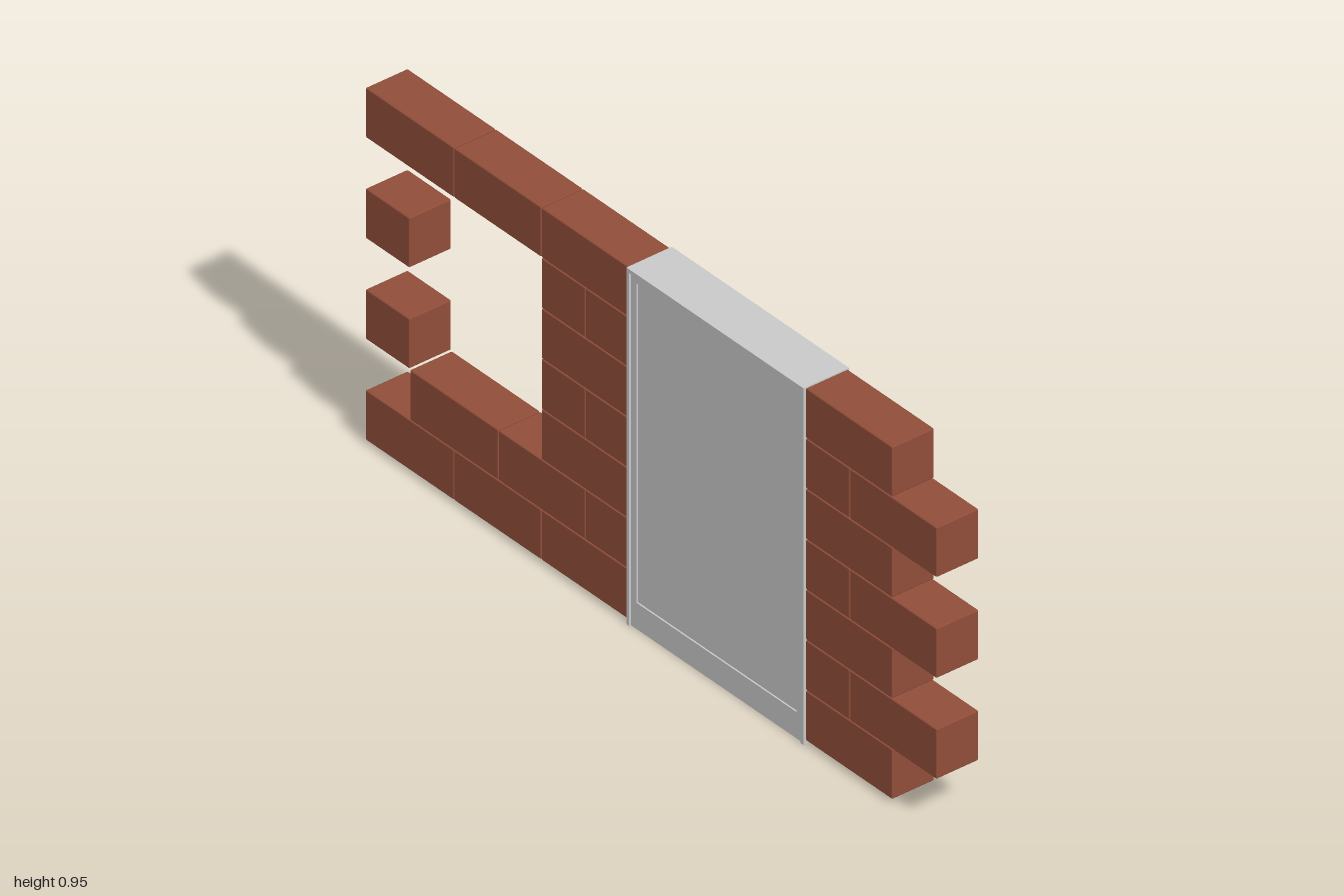
import * as THREE from 'three';
import { RoundedBoxGeometry } from 'three/addons/geometries/RoundedBoxGeometry.js';

const brickRed = new THREE.MeshStandardMaterial({ color: 0x914e3a });
brickRed.name = 'brick red';
const paleGrey = new THREE.MeshStandardMaterial({ color: 0xcacaca });
paleGrey.name = 'pale grey';

// Box given by its extents on each axis
function block(name, [x0, x1], [y0, y1], [z0, z1], material, radius = 0) {
  const size = [x1 - x0, y1 - y0, z1 - z0];
  const geometry = radius
    ? new RoundedBoxGeometry(...size, 1, radius)
    : new THREE.BoxGeometry(...size);
  const mesh = new THREE.Mesh(geometry, material);
  mesh.name = name;
  mesh.position.set((x0 + x1) / 2, (y0 + y1) / 2, (z0 + z1) / 2);
  return mesh;
}

// Brick wall on both sides of the door, with a window opening at the back
function createWall() {
  const wall = new THREE.Group();
  wall.name = 'brickWall';
  const frontLong = [[0.54, 0.845]];
  const frontToothed = [[0.54, 0.695], [0.695, 1]];
  const fullCourse = [[-0.385, -0.08], [-0.69, -0.385], [-1, -0.69]];
  const sillCourse = [[-0.23, -0.08], [-0.535, -0.23], [-0.845, -0.535]];
  const windowLong = [[-0.385, -0.08], [-1, -0.845]];
  const windowHalves = [[-0.23, -0.08], [-0.385, -0.23]];
  const courses = [
    [...frontLong, ...fullCourse],
    [...frontToothed, ...sillCourse],
    [...frontLong, ...windowLong],
    [...frontToothed, ...windowHalves],
    [...frontLong, ...windowLong],
    [...frontToothed, ...windowHalves],
    [...frontLong, ...fullCourse],
  ];
  const base = 0.01, height = 0.94 / 7, joint = 0.001;
  courses.forEach((bricks, row) => {
    const y = base + row * height;
    for (const [z0, z1] of bricks) {
      wall.add(block('brick', [-0.06, 0.06], [y + joint, y + height - joint],
        [z0 + joint, z1 - joint], brickRed, 0.003));
    }
  });
  return wall;
}

// Thin door lining with the leaf set close to the left side of the wall
function createDoor() {
  const door = new THREE.Group();
  door.name = 'door';
  const depth = [-0.065, 0.065];
  door.add(block('jamb', depth, [0, 0.95], [-0.08, -0.07], paleGrey));
  door.add(block('jamb', depth, [0, 0.95], [0.53, 0.54], paleGrey));
  door.add(block('lintel', depth, [0.94, 0.95], [-0.07, 0.53], paleGrey));

  // Leaf: surround with a hole, and a slightly recessed panel filling it
  const surround = new THREE.Shape([[-0.07, 0], [0.53, 0], [0.53, 0.94], [-0.07, 0.94]]
    .map(([z, y]) => new THREE.Vector2(-z, y)));
  surround.holes.push(new THREE.Path([[-0.05, 0.07], [-0.05, 0.92], [0.51, 0.92], [0.51, 0.07]]
    .map(([z, y]) => new THREE.Vector2(-z, y))));
  const geometry = new THREE.ExtrudeGeometry(surround, { depth: 0.012, bevelEnabled: false });
  geometry.rotateY(Math.PI / 2);
  const leaf = new THREE.Mesh(geometry, paleGrey);
  leaf.name = 'doorSurround';
  leaf.position.x = -0.06;
  door.add(leaf);
  door.add(block('doorPanel', [-0.056, -0.052], [0.07, 0.92], [-0.05, 0.51], paleGrey));
  return door;
}

export function createModel() {
  const model = new THREE.Group();
  model.name = 'wallWithDoor';
  model.add(createWall(), createDoor());
  return model;
}
